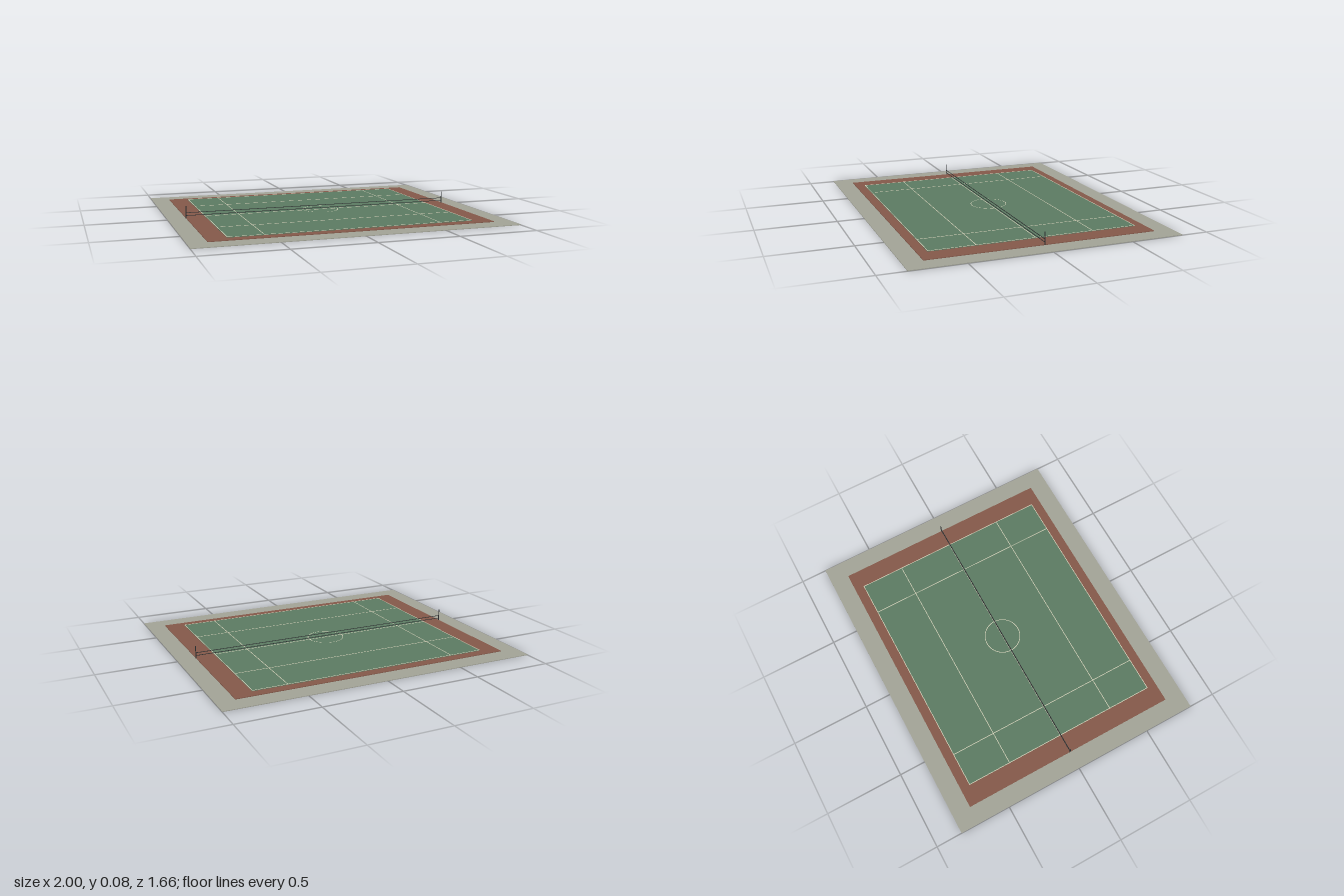
import * as THREE from 'three';

const paint = (color) => new THREE.MeshStandardMaterial({ color });

export function createModel() {
  const court = new THREE.Group();
  court.name = 'sportsCourt';
  const concrete = paint(0xa3a497);
  const clay = paint(0x85594a);
  const green = paint(0x5c7b62);
  const cream = paint(0xd8d4bc);
  const dark = paint(0x2c2f30);

  const add = (name, geometry, material, x, y, z, parent = court) => {
    const mesh = new THREE.Mesh(geometry, material);
    mesh.name = name;
    mesh.position.set(x, y, z);
    parent.add(mesh);
    return mesh;
  };

  // Stacked slabs: width, depth, bottom and top heights
  const slab = (name, w, d, y0, y1, material) =>
    add(name, new THREE.BoxGeometry(w, y1 - y0, d), material, 0, (y0 + y1) / 2, 0);
  slab('groundSlab', 2, 1.664, 0, 0.004, concrete);
  slab('outerSurface', 1.77, 1.426, 0.004, 0.008, clay);
  slab('playingSurface', 1.53, 1.306, 0.008, 0.0115, green);

  // Painted lines
  const lines = new THREE.Group();
  lines.name = 'courtLines';
  court.add(lines);
  const t = 0.004, h = 0.001, y = 0.012;
  const lineX = (name, z) => add(name, new THREE.BoxGeometry(1.53, h, t), cream, 0, y, z, lines);
  const lineZ = (name, x) => add(name, new THREE.BoxGeometry(t, h, 1.306), cream, x, y, 0, lines);
  lineX('centreLine', 0);
  for (const s of [-1, 1]) {
    lineX('baseline', s * 0.651);
    lineX('serviceLine', s * 0.367);
    lineZ('outerSideline', s * 0.763);
    lineZ('innerSideline', s * 0.549);
  }
  const ring = add('centreCircle', new THREE.RingGeometry(0.113, 0.117, 64), cream, 0, y + h, 0, lines);
  ring.rotation.x = -Math.PI / 2;

  // Net: two posts with strands stretched between them
  const net = new THREE.Group();
  net.name = 'net';
  court.add(net);
  for (const s of [-1, 1]) {
    add('netPost', new THREE.CylinderGeometry(0.003, 0.003, 0.079, 12), dark, s * 0.884, 0.0435, 0, net);
  }
  for (const strandY of [0.022, 0.04]) {
    add('netStrand', new THREE.BoxGeometry(1.768, 0.003, 0.003), dark, 0, strandY, 0, net);
  }
  return court;
}
